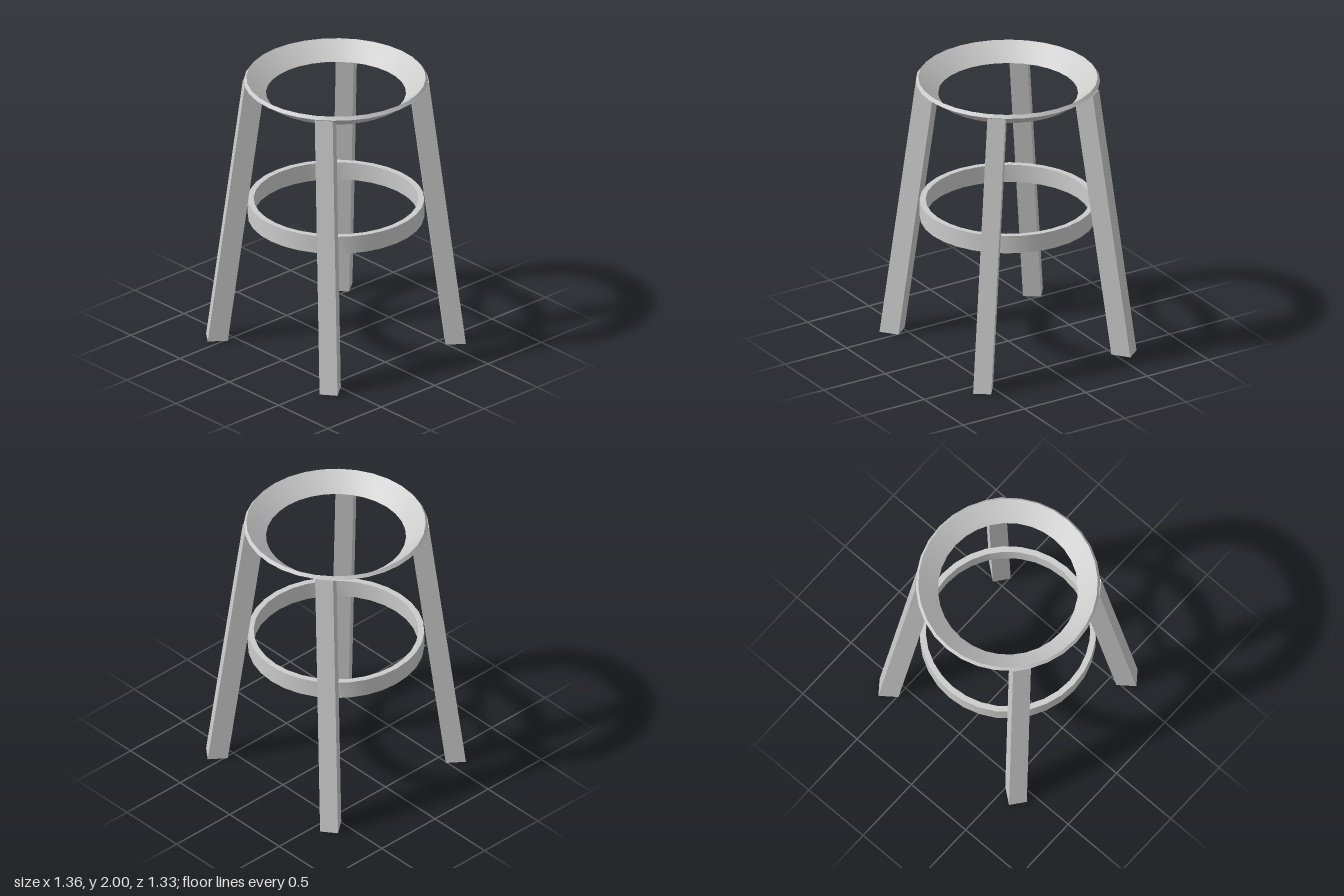
import * as THREE from 'three';
import { toCreasedNormals } from 'three/addons/utils/BufferGeometryUtils.js';

const material = new THREE.MeshStandardMaterial({ color: 0xcccccc });

// Closed [radius, y] section, counter-clockwise, spun into a hard-edged ring
function ring(name, section) {
  const points = [...section, section[0]].map(([r, y]) => new THREE.Vector2(r, y));
  const geometry = toCreasedNormals(new THREE.LatheGeometry(points, 32), 0.5);
  const mesh = new THREE.Mesh(geometry, material);
  mesh.name = name;
  return mesh;
}

// Splayed leg: level foot, top cut to follow the underside of the seat ring
function leg(name, sx, sz) {
  const geometry = new THREE.BoxGeometry(1, 1, 1);
  const pos = geometry.attributes.position;
  const out = { x: sx * 0.11, z: sz * 0.085 };
  const side = { x: -out.z * 0.9, z: out.x * 0.9 };
  for (let i = 0; i < pos.count; i++) {
    const u = pos.getX(i), v = pos.getZ(i);
    const y = pos.getY(i) < 0 ? 0 : u > 0 ? 1.975 : 1.885;
    pos.setXYZ(
      i,
      sx * (0.585 - 0.076 * y) + u * out.x + v * side.x,
      y,
      sz * (0.574 - 0.107 * y) + u * out.z + v * side.z
    );
  }
  geometry.computeVertexNormals();
  const mesh = new THREE.Mesh(geometry, material);
  mesh.name = name;
  return mesh;
}

export function createModel() {
  const group = new THREE.Group();
  group.name = 'stool';

  // Dished seat frame, open in the middle
  group.add(ring('seatRing', [[0.482, 1.885], [0.505, 1.885], [0.635, 1.977], [0.618, 2]]));

  // Foot rest band
  group.add(ring('footRing', [[0.567, 0.945], [0.608, 0.945], [0.608, 1.075], [0.567, 1.075]]));

  // Four legs
  for (const sx of [1, -1]) {
    for (const sz of [1, -1]) {
      group.add(leg(`${sz > 0 ? 'front' : 'back'}${sx > 0 ? 'Left' : 'Right'}Leg`, sx, sz));
    }
  }
  return group;
}
